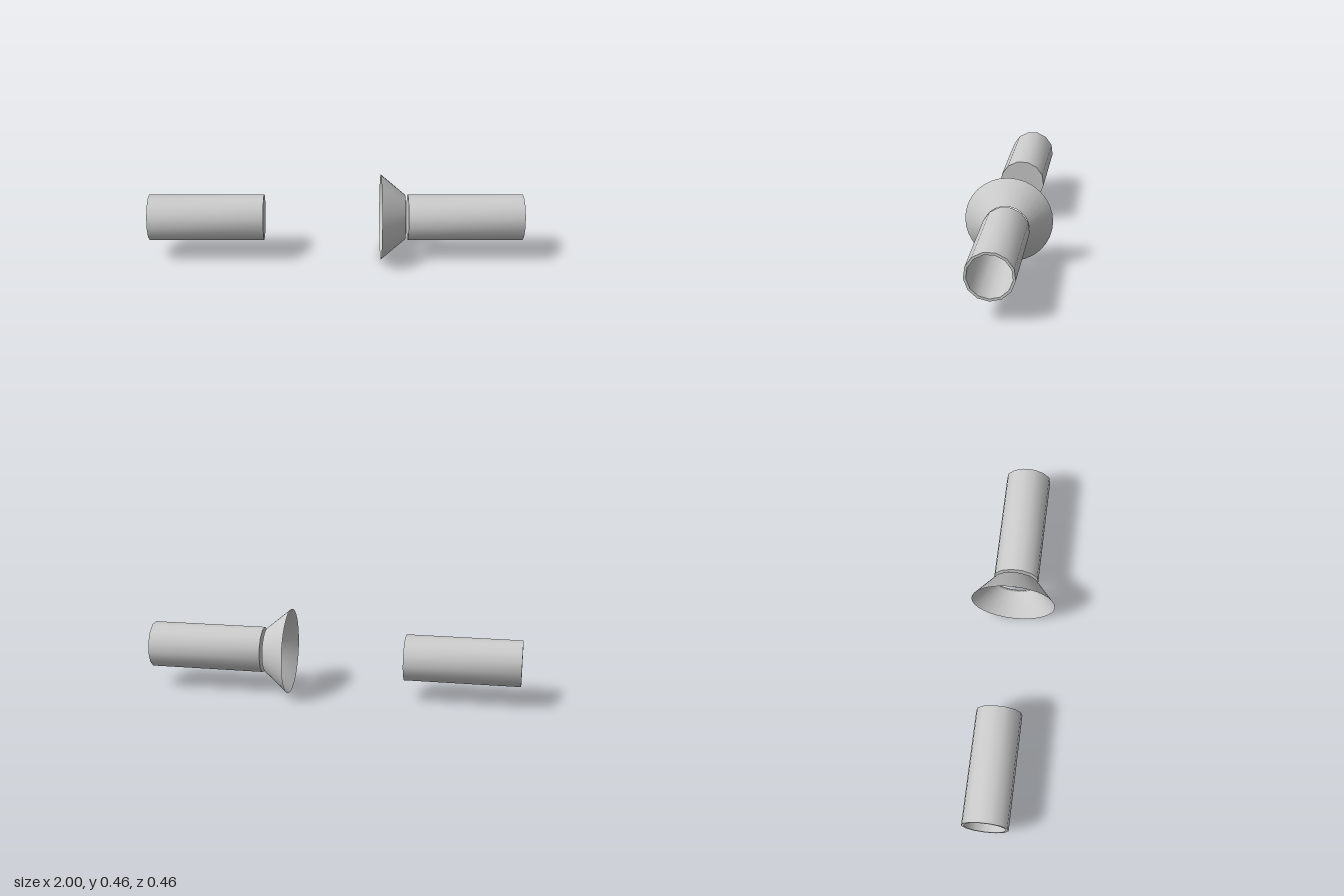
import * as THREE from 'three';
import { toCreasedNormals } from 'three/addons/utils/BufferGeometryUtils.js';

const AXIS_Y = 0.23;

// Revolve [radius, x] points around the horizontal x axis
function revolve(points, sides) {
  const profile = points.map(([r, x]) => new THREE.Vector2(r, x));
  return new THREE.LatheGeometry(profile, sides, Math.PI / 2).rotateZ(-Math.PI / 2);
}

export function createModel() {
  const model = new THREE.Group();
  const material = new THREE.MeshStandardMaterial({ color: 0xcccccc, side: THREE.DoubleSide });

  function add(name, geometry) {
    const mesh = new THREE.Mesh(geometry, material);
    mesh.name = name;
    mesh.position.y = AXIS_Y;
    model.add(mesh);
    return mesh;
  }

  // Two 13-sided cups, closed towards the middle and open at the outer ends
  const cup = toCreasedNormals(revolve([
    [0, 0.385], [0.123, 0.385], [0.123, 1],
    [0.11, 1], [0.11, 0.4], [0, 0.4],
  ], 13), 0.7);
  add('leftCup', cup);
  add('rightCup', cup).rotation.y = Math.PI;

  // Thin flared collar in front of the left cup, with softly shaded edges
  add('flaredCollar', revolve([
    [0.229, 0.24], [0.12, 0.37], [0.115, 0.355], [0.229, 0.24],
  ], 32));

  return model;
}
